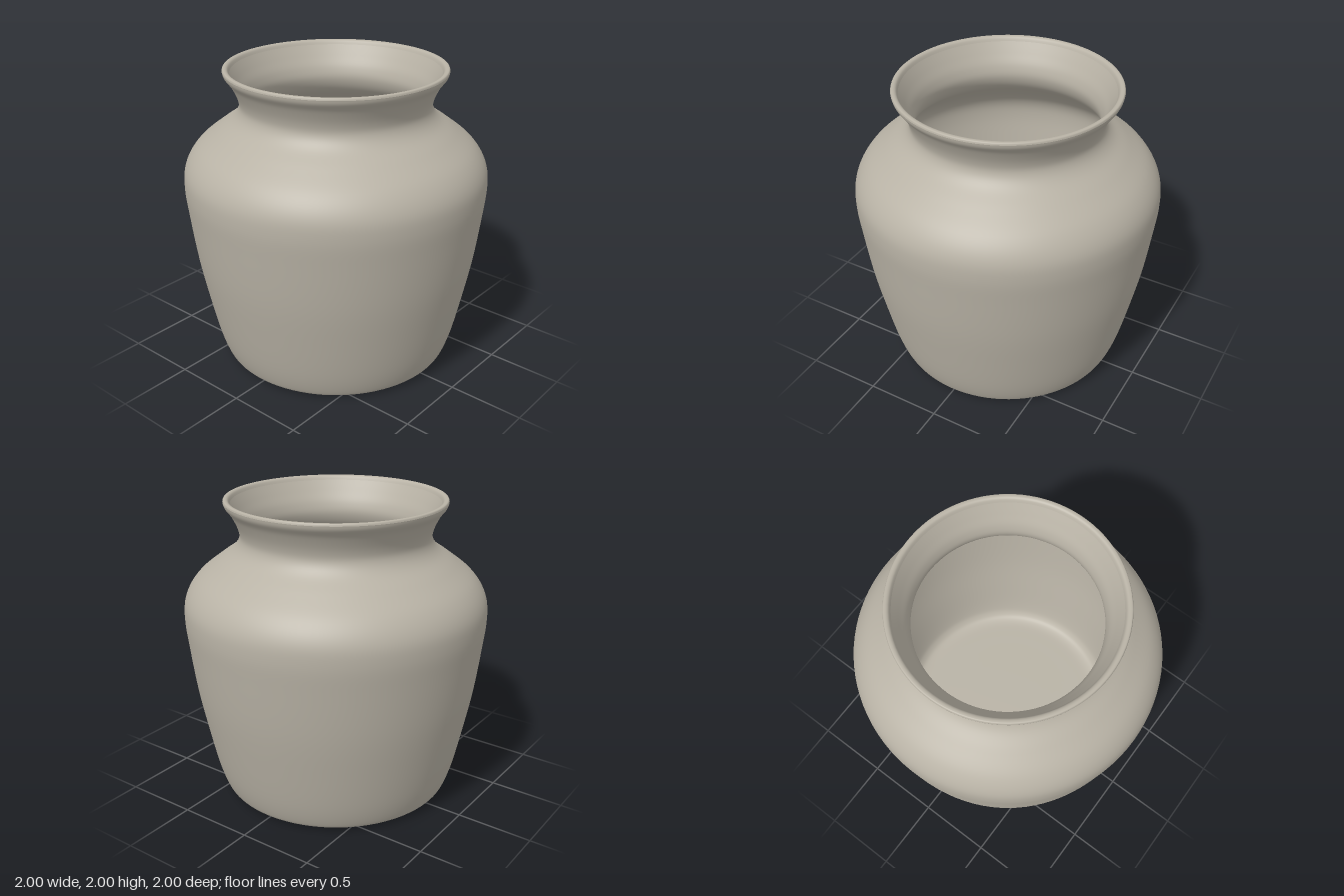
import * as THREE from 'three';

// Smooth a few [radius, height] points and revolve them
function revolve(name, points, samples, material) {
  const curve = new THREE.SplineCurve(points.map(([r, y]) => new THREE.Vector2(r, y)));
  const profile = curve.getPoints(samples);
  profile.forEach((p) => { p.x = Math.max(p.x, 0); p.y = Math.min(Math.max(p.y, 0), 2); });
  const mesh = new THREE.Mesh(new THREE.LatheGeometry(profile, 96), material);
  mesh.name = name;
  return mesh;
}

export function createModel() {
  const clay = new THREE.MeshStandardMaterial({ color: 0xb8b2a5 });
  clay.name = 'warm grey clay';

  const jar = new THREE.Group();
  jar.name = 'jar';

  // Underside with a shallow recess inside the foot ring
  const foot = [[0, 0.025], [0.25, 0.025], [0.45, 0.024], [0.5, 0.012], [0.58, 0.004], [0.7, 0.01]];

  // Outer wall: foot, belly, shoulder, pinched neck and flared lip
  const outer = [
    [0.7, 0.01], [0.755, 0.022], [0.785, 0.06], [0.83, 0.2], [0.885, 0.45],
    [0.94, 0.74], [0.98, 1.05], [0.998, 1.24], [0.982, 1.37], [0.91, 1.485],
    [0.78, 1.59], [0.67, 1.67], [0.625, 1.74], [0.63, 1.81], [0.67, 1.9],
    [0.71, 1.955], [0.72, 1.985],
  ];

  // Rounded lip
  const lip = [[0.72, 1.985], [0.715, 1.998], [0.7, 2], [0.685, 1.992], [0.674, 1.97]];

  // Inner wall, following the outside down to a flat floor
  const inner = [
    [0.674, 1.97], [0.635, 1.9], [0.595, 1.82], [0.585, 1.74], [0.63, 1.65],
    [0.745, 1.56], [0.87, 1.455], [0.935, 1.36], [0.95, 1.24], [0.932, 1.05],
    [0.892, 0.74], [0.837, 0.45], [0.785, 0.2], [0.75, 0.11], [0.69, 0.075],
    [0.55, 0.07], [0.25, 0.07], [0, 0.07],
  ];

  jar.add(
    revolve('underside', foot, 24, clay),
    revolve('outerWall', outer, 90, clay),
    revolve('lip', lip, 14, clay),
    revolve('innerWall', inner, 90, clay),
  );
  return jar;
}
